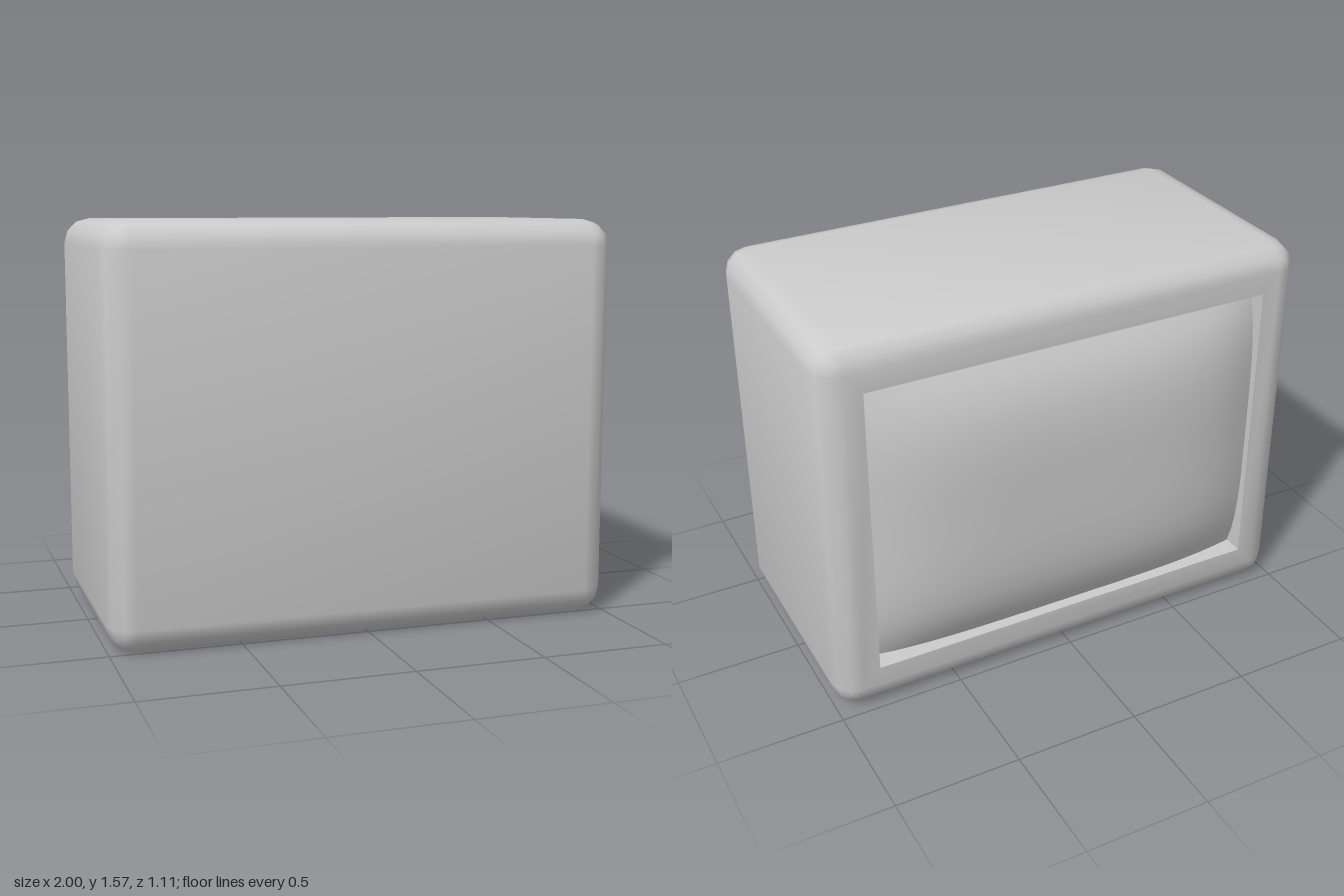
import * as THREE from 'three';
import { toCreasedNormals } from 'three/addons/utils/BufferGeometryUtils.js';

const MID_Y = 0.785, HALF_W = 1, HALF_H = 0.785, FRONT = 0.555, BACK = -0.485;
const RADIUS = 0.1, STEPS = 3;
const HOLE_W = 0.83, HOLE_H = 0.605;

// Rounded rectangle loop at depth z, counter-clockwise seen from +z
function ring(w, h, r, z) {
  const points = [];
  [[1, 1], [-1, 1], [-1, -1], [1, -1]].forEach(([sx, sy], corner) => {
    for (let i = 0; i <= STEPS; i++) {
      const a = (corner + i / STEPS) * Math.PI / 2;
      points.push(new THREE.Vector3(
        sx * (w - r) + r * Math.cos(a), sy * (h - r) + r * Math.sin(a), z));
    }
  });
  return points;
}

// Skin between consecutive loops, leaving out collapsed triangles
function loft(rings) {
  const pos = [];
  const tri = (a, b, c) => {
    if (new THREE.Triangle(a, b, c).getArea() < 1e-7) return;
    for (const p of [a, b, c]) pos.push(p.x, p.y, p.z);
  };
  for (let k = 0; k < rings.length - 1; k++) {
    const A = rings[k], B = rings[k + 1], n = A.length;
    for (let i = 0; i < n; i++) {
      const j = (i + 1) % n;
      tri(A[i], B[i], B[j]);
      tri(A[i], B[j], A[j]);
    }
  }
  const g = new THREE.BufferGeometry();
  g.setAttribute('position', new THREE.Float32BufferAttribute(pos, 3));
  return toCreasedNormals(g, 0.7);
}

export function createModel() {
  const group = new THREE.Group();
  group.name = 'television';
  const material = new THREE.MeshStandardMaterial({ color: 0xcccccc });

  // Casing: flat front panel, rounded edges, back frame, walls of the screen opening
  const rings = [ring(0, 0, 0, FRONT)];
  const edge = (a, zCentre) => {
    const inset = RADIUS * (1 - Math.sin(a));
    rings.push(ring(HALF_W - inset, HALF_H - inset, RADIUS - inset,
      zCentre + RADIUS * Math.cos(a)));
  };
  for (let i = 0; i <= STEPS; i++) edge(i / STEPS * Math.PI / 2, FRONT - RADIUS);
  for (let i = 0; i <= STEPS; i++) edge((1 + i / STEPS) * Math.PI / 2, BACK + RADIUS);
  rings.push(ring(HOLE_W, HOLE_H, 0, BACK), ring(HOLE_W, HOLE_H, 0, BACK + 0.1));
  // front panel to back: the loops run away from +z, so faces point outwards
  const casing = new THREE.Mesh(loft(rings), material);
  casing.name = 'casing';
  casing.position.y = MID_Y;
  group.add(casing);

  // Screen: bulging panel whose edges sink into the opening
  const dome = new THREE.PlaneGeometry(HOLE_W * 2, HOLE_H * 2, 20, 16);
  const p = dome.attributes.position;
  for (let i = 0; i < p.count; i++) {
    const u = (p.getX(i) / HOLE_W) ** 4, v = (p.getY(i) / HOLE_H) ** 4;
    p.setZ(i, 0.555 - 0.098 * u - 0.115 * v + 0.06 * u * v);
  }
  dome.computeVertexNormals();
  const screen = new THREE.Mesh(dome, material);
  screen.name = 'screen';
  screen.rotation.y = Math.PI;
  screen.position.y = MID_Y;
  group.add(screen);

  return group;
}
